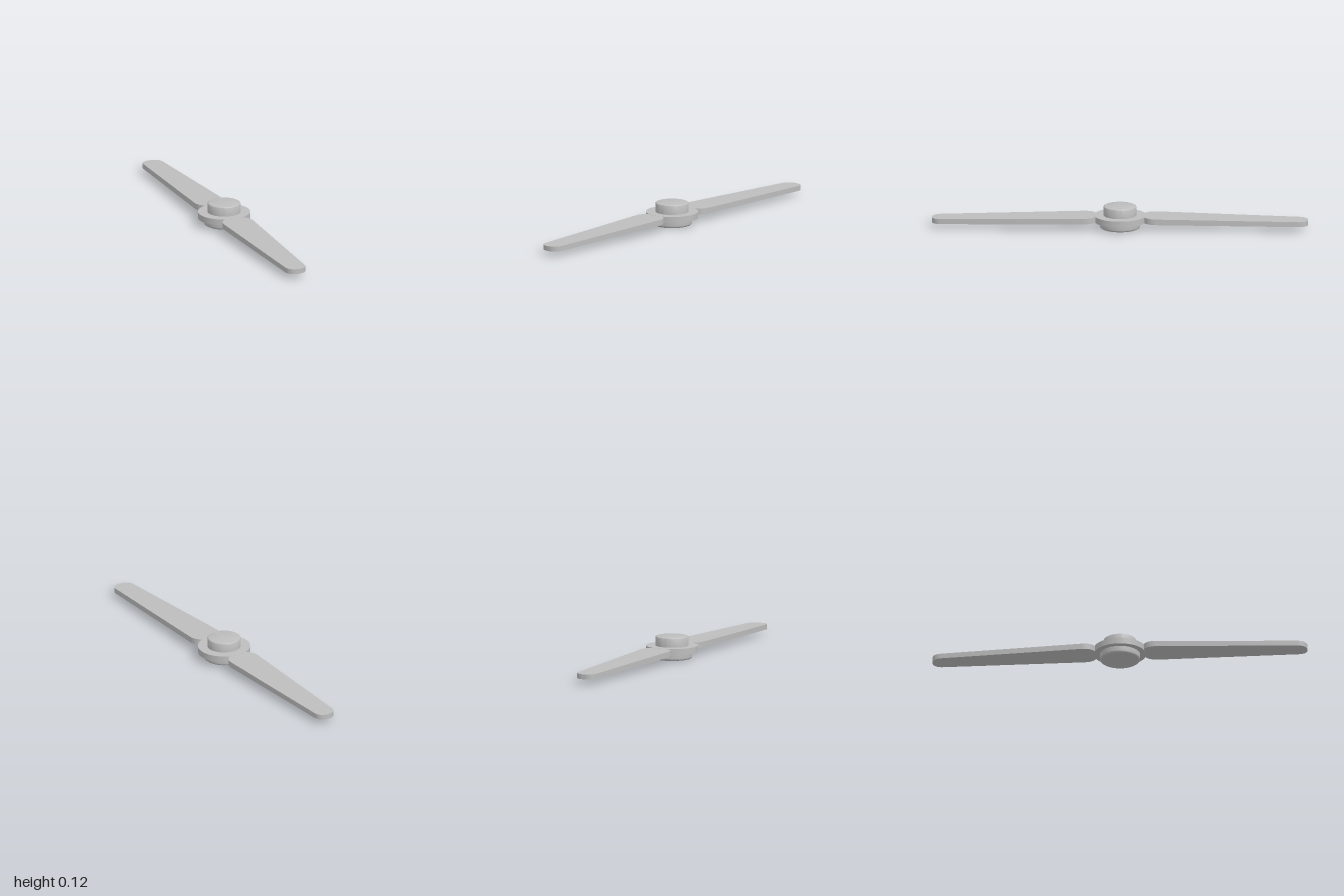
import * as THREE from 'three';
import { toCreasedNormals } from 'three/addons/utils/BufferGeometryUtils.js';

const grey = new THREE.MeshStandardMaterial({ color: 0xbdbdbd });
grey.name = 'grey plastic';

function part(name, geometry) {
  const mesh = new THREE.Mesh(toCreasedNormals(geometry, 0.6), grey);
  mesh.name = name;
  return mesh;
}

// Turned disc from y0 to y1 with optional rounded lower and upper edges
function disc(name, radius, y0, y1, lowRound = 0, highRound = 0) {
  const points = [new THREE.Vector2(0, y0)];
  const corner = (cy, r, start) => {
    const steps = r ? 5 : 0;
    for (let i = 0; i <= steps; i++) {
      const a = start + (steps ? (i / steps) * Math.PI / 2 : 0);
      points.push(new THREE.Vector2(radius - r + r * Math.cos(a), cy + r * Math.sin(a)));
    }
  };
  corner(y0 + lowRound, lowRound, -Math.PI / 2);
  corner(y1 - highRound, highRound, 0);
  points.push(new THREE.Vector2(0, y1));
  return part(name, new THREE.LatheGeometry(points, 64));
}

// Tapered paddle blade, drooping gently and thinning toward its rounded tip
function bladeGeometry() {
  const s = new THREE.Shape();
  s.moveTo(-0.048, 0.115);
  s.lineTo(0.048, 0.115);
  s.lineTo(0.05, 0.132);
  s.quadraticCurveTo(0.085, 0.15, 0.085, 0.195);
  s.lineTo(0.056, 0.955);
  s.bezierCurveTo(0.052, 0.985, 0.03, 1, 0, 1);
  s.bezierCurveTo(-0.03, 1, -0.052, 0.985, -0.056, 0.955);
  s.lineTo(-0.085, 0.195);
  s.quadraticCurveTo(-0.085, 0.15, -0.05, 0.132);
  s.closePath();
  const g = new THREE.ExtrudeGeometry(s, { depth: 1, bevelEnabled: false, curveSegments: 10 });
  g.rotateX(-Math.PI / 2);
  const p = g.attributes.position;
  for (let i = 0; i < p.count; i++) {
    const t = Math.max(0, (-p.getZ(i) - 0.15) / 0.85);
    const top = 0.0695 - 0.0175 * t;
    const bottom = 0.0385 - 0.0135 * t;
    p.setY(i, p.getY(i) > 0.5 ? top : bottom);
  }
  return g;
}

export function createModel() {
  const model = new THREE.Group();
  model.name = 'propeller';

  // Hub: wide ring plate with a cap above and a boss below
  model.add(disc('hubPlate', 0.139, 0.037, 0.07));
  model.add(disc('topCap', 0.088, 0.069, 0.121, 0, 0.008));
  model.add(disc('bottomBoss', 0.107, 0, 0.038, 0.012, 0));

  // Two opposite blades
  ['backBlade', 'frontBlade'].forEach((name, i) => {
    const blade = part(name, bladeGeometry());
    blade.rotation.y = i * Math.PI;
    model.add(blade);
  });
  return model;
}
